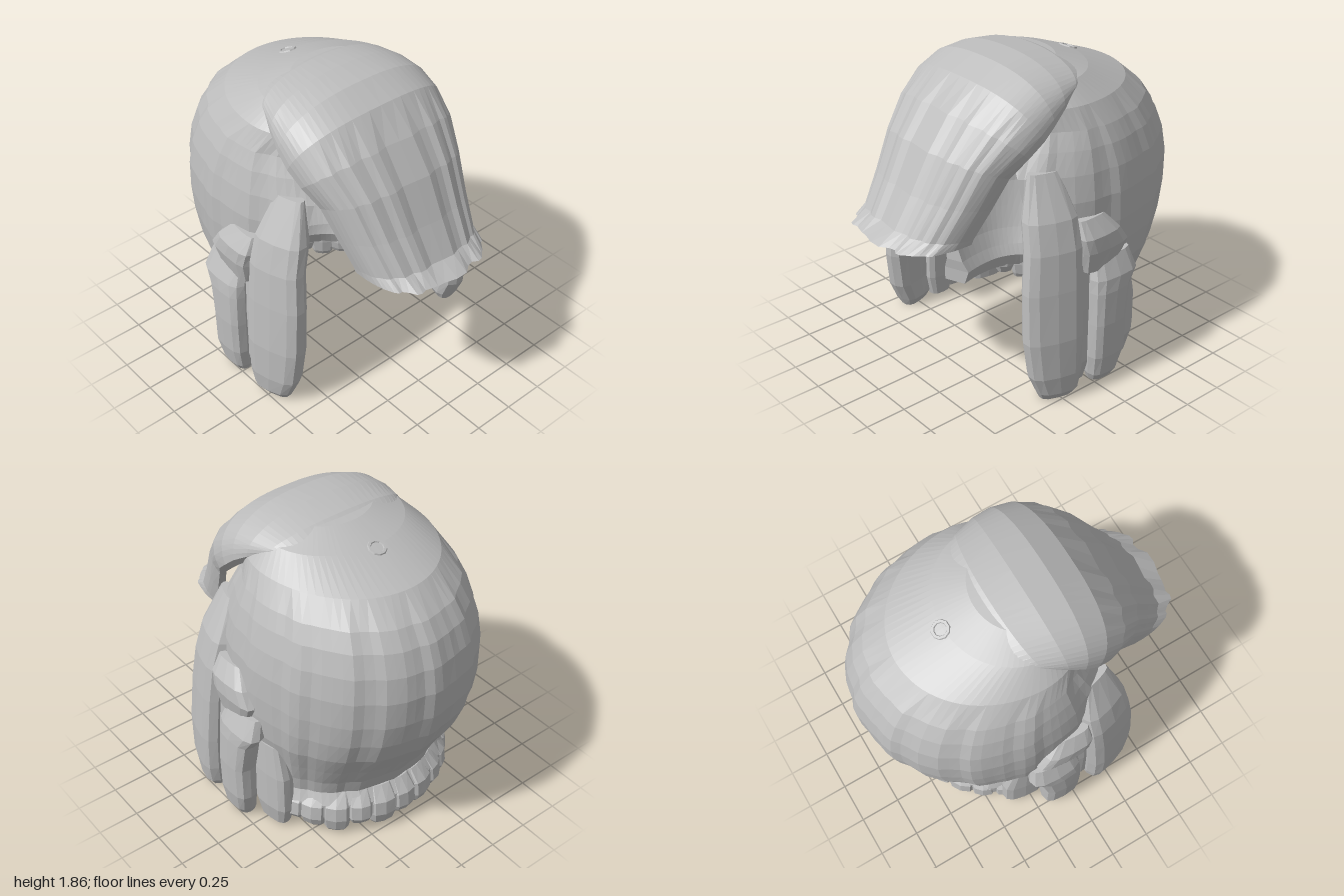
import * as THREE from 'three';

const hairGrey = new THREE.MeshStandardMaterial({ color: 0xbdbdbd, flatShading: true });
hairGrey.name = 'hairGrey';

// Small seeded random generator
let seed = 7;
const rnd = () => (seed = (seed * 16807) % 2147483647) / 2147483647;

// Skin closed loops of points, listed from top to bottom, and close both ends
function loft(name, rows) {
  const L = rows[0].length, R = rows.length, pos = rows.flat(2), idx = [];
  const quad = (a, b, c, d) => idx.push(a, b, c, a, c, d);
  for (let j = 0; j < R - 1; j++) {
    for (let i = 0; i < L; i++) {
      const n = (i + 1) % L;
      quad(j * L + i, j * L + n, (j + 1) * L + n, (j + 1) * L + i);
    }
  }
  const end = (R - 1) * L;
  for (let k = 0; k < L / 2 - 1; k++) {
    quad(k, L - 1 - k, L - 2 - k, k + 1);
    quad(end + k, end + k + 1, end + L - 2 - k, end + L - 1 - k);
  }
  let g = new THREE.BufferGeometry();
  g.setAttribute('position', new THREE.Float32BufferAttribute(pos, 3));
  g.setIndex(idx);
  g = g.toNonIndexed();
  g.computeVertexNormals();
  const mesh = new THREE.Mesh(g, hairGrey);
  mesh.name = name;
  return mesh;
}

// Loop made of an outer run and an inner run walked back
function shellLoop(n, outer, inner) {
  const loop = [];
  for (let i = 0; i <= n; i++) loop.push(outer(i / n));
  for (let i = n; i >= 0; i--) loop.push(inner(i / n));
  return loop;
}

// Lock of hair: sections [y, cx, cz, rx, rz], turned about the vertical axis
function lock(name, sections, turn = 0, side = 1, sides = 12) {
  const t = turn * side;
  return loft(name, sections.map(([y, cx, cz, rx, rz]) => {
    const loop = [];
    for (let i = 0; i < sides; i++) {
      const a = (i / sides) * Math.PI * 2, s = Math.sin(a), c = -Math.cos(a);
      const px = rx * Math.sign(s) * Math.abs(s) ** 0.7, pz = rz * Math.sign(c) * Math.abs(c) ** 0.7;
      loop.push([side * cx + px * Math.cos(t) + pz * Math.sin(t), y, cz - px * Math.sin(t) + pz * Math.cos(t)]);
    }
    return loop;
  }));
}

// Hollow cap rings: y, half width, centre z, depth back, depth front, half arc in degrees, thickness
const CAP = [
  [1.855, 0.01, 0.03, 0.01, 0.01, 180, 0.09],
  [1.825, 0.27, 0, 0.23, 0.18, 180, 0.09],
  [1.76, 0.42, -0.05, 0.37, 0.3, 180, 0.09],
  [1.65, 0.53, -0.1, 0.61, 0.45, 180, 0.09],
  [1.53, 0.595, -0.16, 0.69, 0.5, 170, 0.09],
  [1.43, 0.635, -0.18, 0.74, 0.6, 145, 0.09],
  [1.3, 0.67, -0.2, 0.77, 0.72, 138, 0.09],
  [1.15, 0.695, -0.2, 0.795, 0.75, 135, 0.09],
  [0.98, 0.7, -0.2, 0.79, 0.75, 129, 0.09],
  [0.83, 0.695, -0.2, 0.76, 0.75, 123, 0.09],
  [0.68, 0.68, -0.2, 0.7, 0.75, 119, 0.09],
  [0.53, 0.64, -0.2, 0.61, 0.75, 115, 0.09],
  [0.39, 0.605, -0.2, 0.53, 0.75, 112, 0.095],
  [0.29, 0.59, -0.2, 0.495, 0.75, 112, 0.12],
  [0.22, 0.615, -0.2, 0.55, 0.75, 112, 0.18],
  [0.13, 0.615, -0.2, 0.56, 0.75, 112, 0.15],
];

function makeCap() {
  const rows = CAP.map(([y, w, cz, ab, af, arc, thick], r) => {
    const point = (u, inset, drop) => {
      const a = THREE.MathUtils.clamp((u * 2 - 1) * 180, -arc, arc) * Math.PI / 180;
      const wave = r > 3 && !inset ? 0.008 * Math.sin(a * 17 + y) + 0.005 * Math.sin(a * 29) : 0;
      const c = Math.cos(a), d = c > 0 ? ab : af, k = 1 + wave;
      return [Math.max(w - inset, 0.005) * k * Math.sin(a), y - drop, cz - Math.max(d - inset, 0.005) * k * c];
    };
    return shellLoop(80, u => point(u, 0, 0), u => point(u, thick, r < 4 ? 0.07 : 0));
  });
  return loft('cap', rows);
}

// Fringe rows: centre z, centre y, edge x, edge z, edge y
const FRINGE = [
  [-0.33, 1.77, 0.41, -0.16, 1.72],
  [-0.15, 1.842, 0.46, -0.06, 1.7],
  [0.03, 1.862, 0.505, 0.05, 1.65],
  [0.2, 1.845, 0.53, 0.14, 1.59],
  [0.36, 1.768, 0.535, 0.22, 1.52],
  [0.51, 1.615, 0.515, 0.31, 1.44],
  [0.65, 1.43, 0.46, 0.4, 1.33],
  [0.77, 1.21, 0.42, 0.49, 1.16],
  [0.88, 1.03, 0.385, 0.59, 1.0],
  [0.98, 0.97, 0.38, 0.6, 0.97],
];

function makeFringe() {
  const rows = FRINGE.map(([z, y, ex, ez, ey], r) => {
    const last = r === FRINGE.length - 1, power = Math.max(0.7, 1 - r * 0.05);
    const point = (u, inset) => {
      const a = (0.5 - u) * Math.PI, s = Math.sin(a), b = Math.abs(Math.cos(a)) ** power;
      const wave = (r > 4 ? 0.01 : 0) * Math.sin(a * 19) + (last ? 0.015 * Math.cos(a * 12) : 0);
      return [
        (ex - inset * 0.7) * Math.sign(s) * Math.abs(s) ** power,
        ey + (y - ey) * b - (last ? 0 : inset * Math.min(0.7, (ey - 0.97) * 8)),
        ez + (z + wave - ez) * b - inset * (last ? 2 : 0.8) * b,
      ];
    };
    return shellLoop(32, u => point(u, 0), u => point(u, 0.06));
  });
  return loft('fringe', rows);
}

// Locks in front of and below each ear
const SIDE_LOCKS = [
  ['frontLock', -0.3, [
    [1.34, 0.52, 0.22, 0.03, 0.09], [1.1, 0.59, 0.23, 0.085, 0.16], [0.93, 0.64, 0.245, 0.08, 0.17],
    [0.7, 0.665, 0.265, 0.08, 0.18], [0.4, 0.685, 0.275, 0.085, 0.18], [0.17, 0.69, 0.265, 0.085, 0.16],
    [0.05, 0.685, 0.245, 0.08, 0.125], [0, 0.68, 0.245, 0.05, 0.1]]],
  ['earLock', 0, [
    [0.8, 0.68, -0.14, 0.055, 0.14], [0.68, 0.715, -0.14, 0.075, 0.165], [0.6, 0.72, -0.11, 0.08, 0.14],
    [0.4, 0.728, -0.09, 0.08, 0.125], [0.18, 0.728, -0.09, 0.075, 0.125], [0.05, 0.71, -0.08, 0.07, 0.1],
    [0, 0.7, -0.08, 0.05, 0.08]]],
  ['templeTuft', 0.05, [
    [1.06, 0.67, 0, 0.03, 0.1], [0.96, 0.7, -0.04, 0.06, 0.15], [0.87, 0.71, -0.08, 0.055, 0.17],
    [0.74, 0.69, -0.06, 0.05, 0.13]]],
  ['innerLock', 0, [
    [0.95, 0.64, 0.08, 0.05, 0.1], [0.5, 0.65, 0.08, 0.07, 0.1], [0.15, 0.65, 0.08, 0.07, 0.1],
    [0.02, 0.64, 0.08, 0.05, 0.07]]],
  ['rearLock', 0.15, [
    [0.62, 0.62, -0.28, 0.045, 0.09], [0.4, 0.615, -0.29, 0.06, 0.13], [0.15, 0.61, -0.29, 0.065, 0.13],
    [0.02, 0.6, -0.28, 0.05, 0.1]]],
];

export function createModel() {
  seed = 7;
  const model = new THREE.Group();
  model.name = 'hair';
  model.add(makeCap(), makeFringe());

  for (const side of [1, -1]) {
    for (const [name, turn, sections] of SIDE_LOCKS) {
      model.add(lock((side > 0 ? 'left ' : 'right ') + name, sections, turn, side));
    }
  }

  // Row of uneven tufts flaring out around the nape
  const nape = new THREE.Group();
  nape.name = 'napeTufts';
  for (let i = -5; i <= 5; i++) {
    const a = i * 0.245, w = 0.07 + rnd() * 0.025, low = 0.003 + rnd() * 0.07;
    const at = (y, out, rx, rz) => [y, (0.53 + out) * Math.sin(a), -0.2 - (0.475 + out) * Math.cos(a), rx, rz];
    nape.add(lock('napeTuft', [
      at(0.29, -0.01, w * 0.8, 0.04), at(0.21, 0.015, w, 0.085), at(0.12, 0.02, w, 0.09),
      at(low + 0.03, 0.015, w * 0.85, 0.075), at(low, 0.01, w * 0.7, 0.055),
    ], -a, 1, 10));
  }
  model.add(nape);

  // Small ring at the crown where the strands meet
  const whorl = new THREE.Mesh(new THREE.TorusGeometry(0.045, 0.014, 6, 10), hairGrey);
  whorl.name = 'crownWhorl';
  whorl.rotation.x = -Math.PI / 2 - 0.35;
  whorl.position.set(0, 1.75, -0.43);
  model.add(whorl);

  return model;
}
